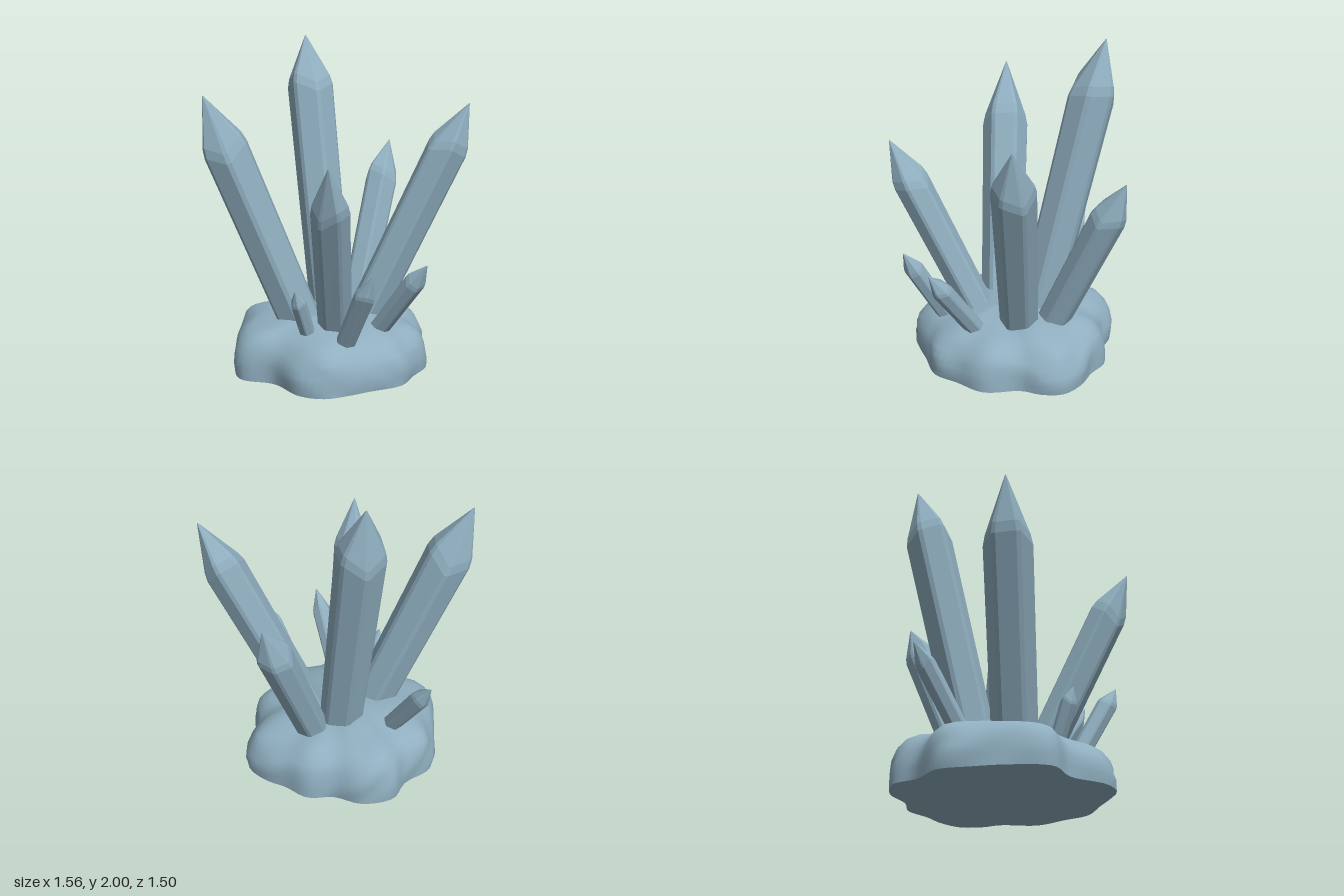
import * as THREE from 'three';

// Skin a stack of closed rings (each an array of Vector3, listed bottom to top)
function loft(rings) {
  const n = rings[0].length;
  const pos = [];
  const index = [];
  rings.forEach((ring) => ring.forEach((p) => pos.push(p.x, p.y, p.z)));
  for (let j = 0; j < rings.length - 1; j++) {
    for (let i = 0; i < n; i++) {
      const a = j * n + i;
      const b = j * n + ((i + 1) % n);
      index.push(a, b, b + n, a, b + n, a + n);
    }
  }
  // bottom cap; separate vertices keep the rim sharp
  const start = pos.length / 3;
  rings[0].forEach((p) => pos.push(p.x, p.y, p.z));
  pos.push(0, rings[0][0].y, 0);
  for (let i = 0; i < n; i++) index.push(start + n, start + ((i + 1) % n), start + i);
  const geo = new THREE.BufferGeometry();
  geo.setAttribute('position', new THREE.Float32BufferAttribute(pos, 3));
  geo.setIndex(index);
  geo.computeVertexNormals();
  return geo;
}

// Six-sided prism with narrow bevelled edges and a pointed end
function crystalGeometry(length, radius, tip, seed) {
  const bevel = 0.1;
  const ring = (y, r, jitter) => {
    const pts = [];
    for (let k = 0; k < 6; k++) {
      const dy = jitter * Math.sin(seed * 2.3 + k * 2.1);
      for (const s of [-1, 1]) {
        const a = (k * Math.PI) / 3 + s * bevel;
        pts.push(new THREE.Vector3(Math.sin(a) * r, y + dy, Math.cos(a) * r));
      }
    }
    return pts;
  };
  const shoulder = length - tip;
  const geo = loft([
    ring(-0.14, radius * 0.92, 0),
    ring(shoulder - tip * 0.06, radius, tip * 0.12),
    ring(shoulder + tip * 0.12, radius * 0.91, tip * 0.12),
    ring(length, 0.002, 0),
  ]).toNonIndexed();
  geo.computeVertexNormals();
  return geo;
}

// Lumpy rock: one outline, shrunk and raised ring by ring
function rockGeometry() {
  const outline = [
    [-0.315, -0.585], [-0.49, -0.49], [-0.53, -0.34], [-0.65, -0.18], [-0.64, 0.0],
    [-0.61, 0.2], [-0.52, 0.41], [-0.31, 0.45], [-0.13, 0.6], [0.02, 0.62],
    [0.15, 0.55], [0.26, 0.47], [0.43, 0.35], [0.48, 0.2], [0.545, 0.01],
    [0.47, -0.2], [0.48, -0.32], [0.44, -0.45], [0.31, -0.53], [0.17, -0.56],
    [0.02, -0.615], [-0.14, -0.57],
  ].map(([x, z]) => new THREE.Vector3(x, 0, z));
  const rim = new THREE.CatmullRomCurve3(outline, true).getSpacedPoints(88).slice(0, -1);
  const profile = [
    [1.02, 0.005], [1.025, 0.06], [1.015, 0.11], [0.995, 0.16], [0.96, 0.2], [0.9, 0.24],
    [0.82, 0.27], [0.72, 0.29], [0.58, 0.315], [0.42, 0.335], [0.26, 0.35], [0.12, 0.355],
    [0.001, 0.355],
  ];
  const rings = profile.map(([s, y], j) => rim.map((p) => {
    const lump = Math.sin(p.x * 13 + y * 17) * Math.sin(p.z * 11 - y * 13)
      + 0.5 * Math.sin(p.x * 23 - p.z * 19 + y * 31);
    const k = s * (1 + (j > 0 ? 0.015 * lump : 0));
    const x = p.x * k;
    const z = p.z * k;
    // the top falls away toward the right and a little toward the front
    const slope = 1 - 0.2 * x - 0.1 * z;
    const bump = y > 0.18 ? 0.01 * Math.sin(x * 14 + 1) * Math.cos(z * 13) : 0;
    return new THREE.Vector3(x, y * slope + bump, z);
  }));
  rings[0].forEach((p) => { p.y = 0; });
  return loft(rings);
}

export function createModel() {
  const model = new THREE.Group();
  model.name = 'crystalCluster';
  const stone = new THREE.MeshStandardMaterial({ color: 0x8faebf });
  stone.name = 'paleBlueStone';

  const rock = new THREE.Mesh(rockGeometry(), stone);
  rock.name = 'rockBase';
  model.add(rock);

  // name, root, tip, radius, length of the point, twist in degrees
  const crystals = [
    ['tallBackCrystal', [-0.085, 0.34, -0.18], [-0.3, 2.0, -0.51], 0.145, 0.32, 27],
    ['largeRightCrystal', [-0.238, 0.33, 0.115], [-0.775, 1.69, 0.235], 0.145, 0.35, 0],
    ['largeLeftCrystal', [0.175, 0.33, -0.108], [0.77, 1.62, -0.225], 0.128, 0.3, 0],
    ['frontCrystal', [0.015, 0.33, 0.232], [0.065, 1.375, 0.745], 0.112, 0.3, 0],
    ['rearCrystal', [0.075, 0.33, -0.32], [0.22, 1.295, -0.75], 0.107, 0.25, 0],
    ['smallRightCrystal', [-0.42, 0.33, -0.165], [-0.67, 0.765, -0.34], 0.06, 0.14, 0],
    ['smallLeftCrystal', [0.275, 0.28, 0.15], [0.575, 0.74, 0.33], 0.062, 0.15, 0],
    ['smallFrontCrystal', [0.1, 0.25, 0.39], [0.29, 0.73, 0.595], 0.062, 0.14, 0],
    ['tinyFrontCrystal', [-0.13, 0.28, 0.335], [-0.185, 0.58, 0.45], 0.048, 0.09, 0],
  ];
  const up = new THREE.Vector3(0, 1, 0);
  crystals.forEach(([name, root, tip, radius, point, twist], i) => {
    const from = new THREE.Vector3(...root);
    const axis = new THREE.Vector3(...tip).sub(from);
    const mesh = new THREE.Mesh(crystalGeometry(axis.length(), radius, point, i + 1), stone);
    // untwisted, two corners stand square to the lean
    const lean = Math.atan2(axis.x, axis.z);
    mesh.geometry.rotateY(lean + Math.PI / 2 + THREE.MathUtils.degToRad(twist));
    mesh.name = name;
    mesh.position.copy(from);
    mesh.quaternion.setFromUnitVectors(up, axis.normalize());
    model.add(mesh);
  });
  return model;
}
